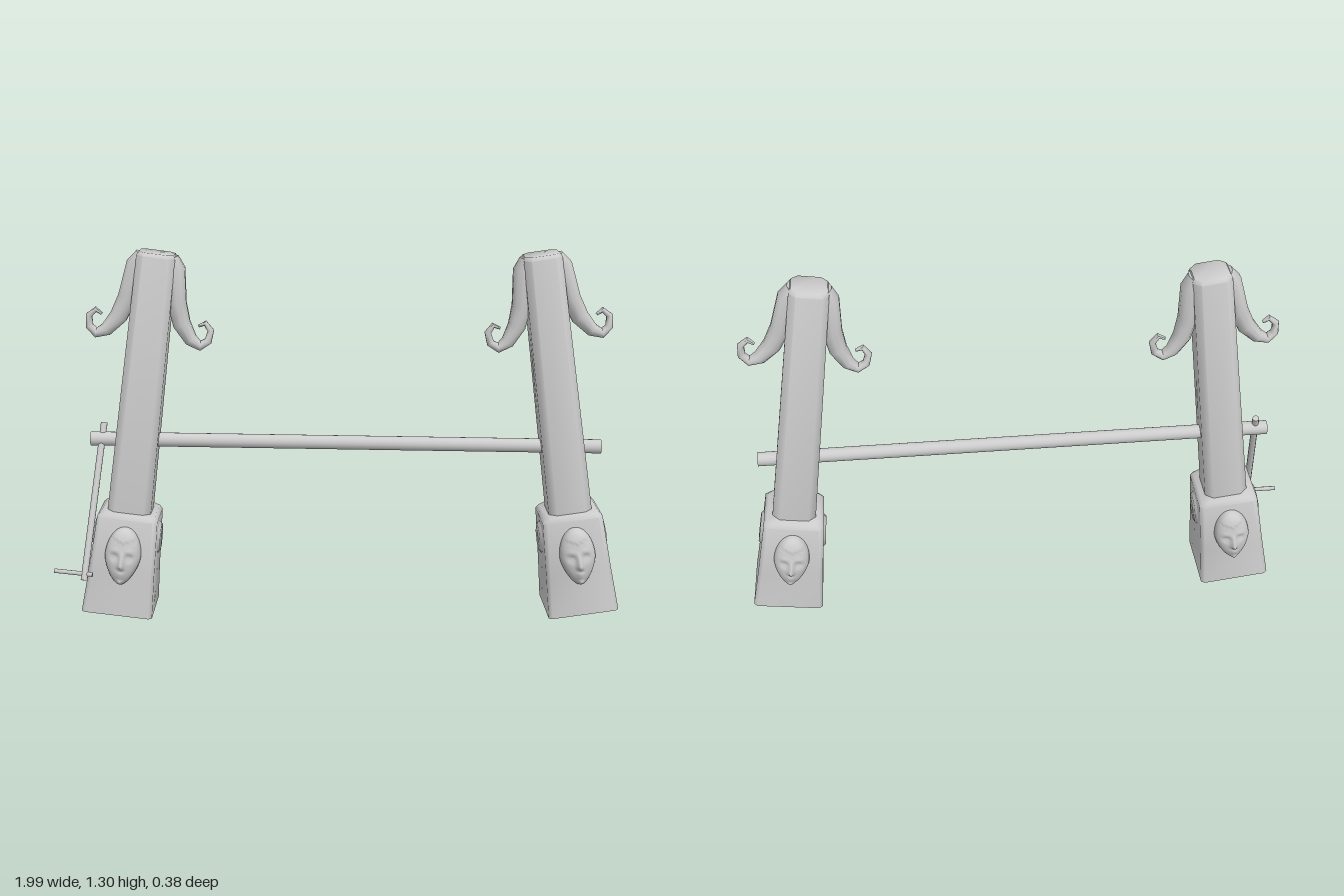
import * as THREE from 'three';
import { toCreasedNormals } from 'three/addons/utils/BufferGeometryUtils.js';

const material = new THREE.MeshStandardMaterial({ color: 0xcccccc });

function mesh(name, geometry) {
  const m = new THREE.Mesh(geometry, material);
  m.name = name;
  return m;
}

// Skin a list of equal-length rings and cap both ends.
function loft(rings) {
  const n = rings[0].length, pos = [], idx = [];
  rings.forEach(r => r.forEach(p => pos.push(p.x, p.y, p.z)));
  for (let j = 0; j < rings.length - 1; j++) {
    for (let i = 0; i < n; i++) {
      const k = (i + 1) % n, a = j * n, b = a + n;
      idx.push(a + i, a + k, b + k, a + i, b + k, b + i);
    }
  }
  const last = (rings.length - 1) * n;
  for (let i = 1; i < n - 1; i++) {
    idx.push(0, i + 1, i, last, last + i, last + i + 1);
  }
  const g = new THREE.BufferGeometry();
  g.setAttribute('position', new THREE.Float32BufferAttribute(pos, 3));
  g.setIndex(idx);
  return toCreasedNormals(g, 0.95);
}

// Rectangle with cut corners at height y.
function cutRect(y, w, d, c) {
  return [[c - w, d], [w - c, d], [w, d - c], [w, c - d], [w - c, -d], [c - w, -d], [-w, c - d], [-w, d - c]]
    .map(([x, z]) => new THREE.Vector3(x, y, z));
}

// Curled arm: x, y, half thickness in the plane, half depth in z.
const ARM = [
  [0.05, 1.275, 0.025, 0.04], [0.066, 1.24, 0.036, 0.045], [0.086, 1.12, 0.034, 0.037],
  [0.11, 1.05, 0.032, 0.031], [0.148, 0.998, 0.024, 0.025], [0.182, 0.982, 0.018, 0.02],
  [0.207, 1.002, 0.014, 0.017], [0.212, 1.04, 0.012, 0.015], [0.19, 1.063, 0.01, 0.012],
  [0.168, 1.05, 0.005, 0.007],
];

function armGeometry() {
  const rings = ARM.map(([x, y, w, d], i) => {
    const p = ARM[Math.max(i - 1, 0)], q = ARM[Math.min(i + 1, ARM.length - 1)];
    const t = new THREE.Vector2(q[0] - p[0], q[1] - p[1]).normalize();
    return Array.from({ length: 10 }, (_, k) => {
      const a = k / 10 * Math.PI * 2, s = Math.sin(a) * w;
      return new THREE.Vector3(x + t.y * s, y - t.x * s, Math.cos(a) * d);
    });
  });
  return loft(rings);
}

// Carved face: a half sphere flattened, narrowed to the chin and given features.
function faceGeometry() {
  const g = new THREE.SphereGeometry(1, 48, 44, 0, Math.PI);
  const p = g.attributes.position;
  const bump = (x, y, sx, sy) => Math.exp(-((x / sx) ** 2) - (y / sy) ** 2);
  for (let i = 0; i < p.count; i++) {
    const x = p.getX(i), y = p.getY(i), z = Math.max(p.getZ(i), 0), ax = Math.abs(x);
    let f = 0.053 * Math.pow(z, 0.65);
    const noseWidth = y > -0.3 ? 0.13 + 0.1 * Math.max(0, 0.15 - y) : 0.19;
    const nose = y > -0.3 ? Math.max(0, (0.25 - y) / 0.55) : Math.max(0, 1 - (-0.3 - y) / 0.1);
    let h = 0.021 * nose * Math.exp(-((x / noseWidth) ** 2));
    h -= 0.011 * bump(ax - 0.4, y - 0.03, 0.2, 0.1);
    h += 0.007 * bump(ax - 0.4, y - 0.02, 0.13, 0.05);
    h += 0.003 * bump(ax - 0.4, y - 0.24, 0.28, 0.07);
    h += 0.009 * bump(x, y + 0.58, 0.25, 0.1) - 0.007 * bump(x, y + 0.58, 0.25, 0.03);
    h += 0.01 * bump(x, y + 0.88, 0.22, 0.12);
    if (y > 0.52 + 0.25 * ax) h += 0.003;
    f += h * Math.min(1, z * 2);
    const narrow = 1 - 0.3 * Math.max(0, -y) ** 1.3;
    p.setXYZ(i, x * 0.063 * narrow, y * 0.105, f);
  }
  g.computeVertexNormals();
  return g;
}

// Round rod between two points.
function rod(name, from, to, radius, sides) {
  const a = new THREE.Vector3(...from), b = new THREE.Vector3(...to), d = b.clone().sub(a);
  const m = mesh(name, new THREE.CylinderGeometry(radius, radius, d.length(), sides));
  m.position.copy(a).add(b).multiplyScalar(0.5);
  m.quaternion.setFromUnitVectors(new THREE.Vector3(0, 1, 0), d.normalize());
  return m;
}

function createPost(name) {
  const post = new THREE.Group();
  post.name = name;

  post.add(mesh('base', loft([
    cutRect(0, 0.125, 0.127, 0.012),
    cutRect(0.15, 0.116, 0.117, 0.014),
    cutRect(0.35, 0.106, 0.109, 0.016),
    cutRect(0.365, 0.095, 0.098, 0.02),
  ])));
  post.add(mesh('shaft', loft([
    cutRect(0.34, 0.077, 0.074, 0.026),
    cutRect(1.275, 0.066, 0.067, 0.024),
    cutRect(1.287, 0.06, 0.058, 0.022),
  ])));

  // Arms, faces and side bosses come in opposite pairs.
  for (const turn of [0, Math.PI]) {
    const side = new THREE.Group();
    side.name = turn ? 'secondSide' : 'firstSide';
    side.rotation.y = turn;

    side.add(mesh('curledArm', armGeometry()));

    const face = mesh('carvedFace', faceGeometry());
    face.position.set(0, 0.222, 0.109);
    face.rotation.x = -0.04;
    side.add(face);

    const boss = mesh('sideBoss', toCreasedNormals(new THREE.CylinderGeometry(0.052, 0.068, 0.016, 8), 0.9));
    boss.position.set(0.111, 0.27, 0);
    boss.rotation.z = -Math.PI / 2 + 0.05;
    side.add(boss);

    post.add(side);
  }
  return post;
}

export function createModel() {
  const model = new THREE.Group();
  model.name = 'postWinch';

  // Two posts leaning towards each other.
  const rightPost = createPost('rightPost');
  rightPost.position.set(-0.795, 0.02, -0.012);
  rightPost.rotation.set(-0.015, 0, -0.132);
  const leftPost = createPost('leftPost');
  leftPost.position.set(0.87, 0.02, -0.008);
  leftPost.rotation.set(0.015, 0, 0.142);
  model.add(rightPost, leftPost);

  // Crossbar with its crank and grip.
  model.add(rod('crossbar', [-0.88, 0.636, -0.028], [0.925, 0.608, 0], 0.025, 16));
  model.add(rod('crankArm', [-0.834, 0.69, -0.045], [-0.895, 0.175, 0.168], 0.012, 10));
  model.add(rod('crankGrip', [-1, 0.205, 0.15], [-0.865, 0.194, 0.163], 0.008, 8));
  return model;
}
